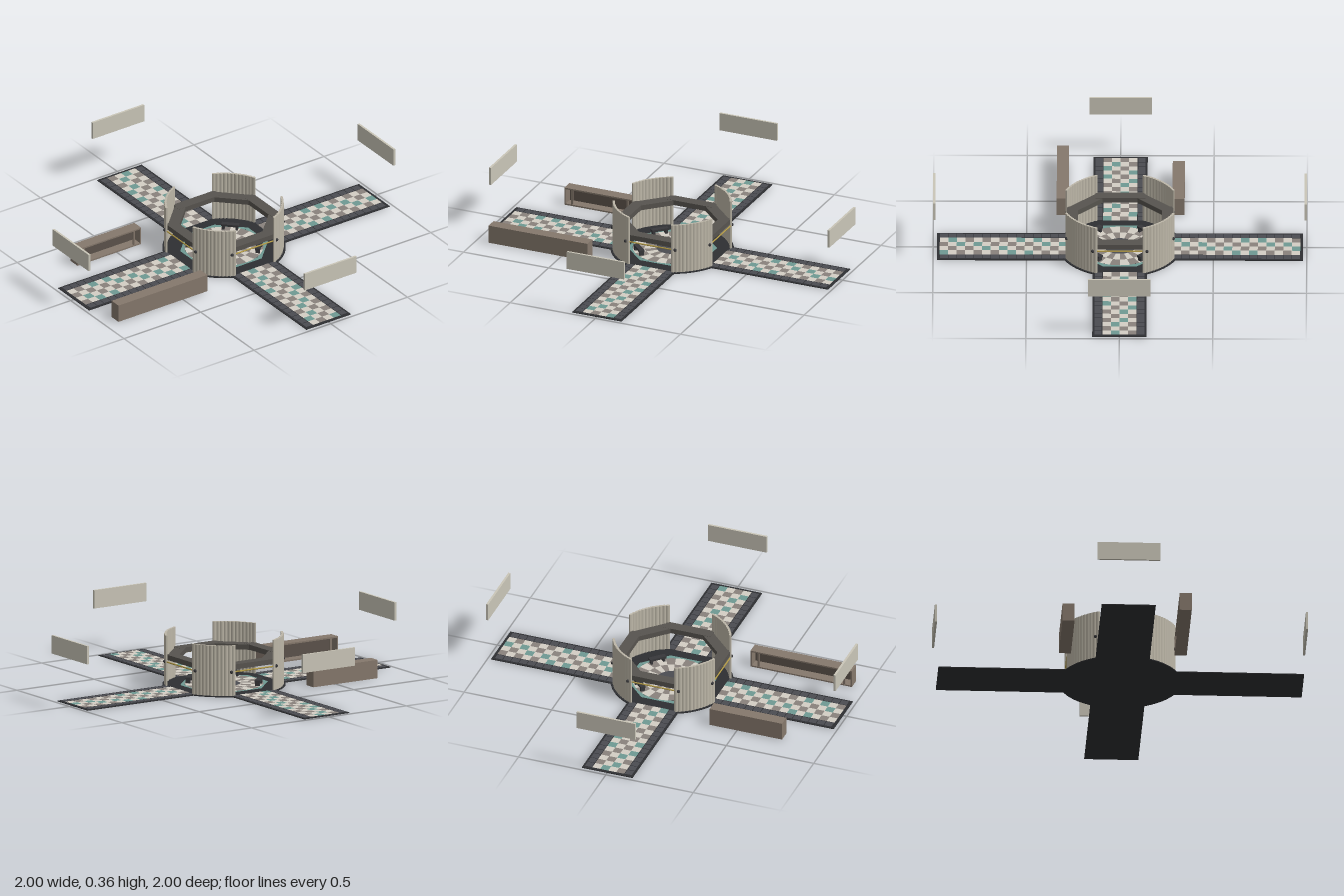
import * as THREE from 'three';
import { mergeGeometries } from 'three/addons/utils/BufferGeometryUtils.js';

const mat = (color) => new THREE.MeshStandardMaterial({ color });
const M = {
  slab: mat(0x2e2f32), border: mat(0x4b4c52), light: mat(0xd3cec4), grey: mat(0x89827d),
  teal: mat(0x6e9a93), panel: mat(0xbdb7a8), sign: mat(0xcac6b8), kiosk: mat(0x85786c),
  dark: mat(0x38383b), beam: mat(0x57544f), gold: mat(0xb39a45), inside: mat(0x5c534b),
};

function add(parent, name, geometry, material, x = 0, y = 0, z = 0) {
  const mesh = new THREE.Mesh(geometry, material);
  mesh.name = name;
  mesh.position.set(x, y, z);
  parent.add(mesh);
  return mesh;
}

// Adds a part, made by build(), at an angle around the vertical axis
function around(parent, name, angle, build) {
  const g = new THREE.Group();
  g.name = name;
  g.rotation.y = angle;
  build(g);
  parent.add(g);
}

const box = (w, h, d) => new THREE.BoxGeometry(w, h, d);
const flat = (g, x, y, z) => g.rotateX(-Math.PI / 2).translate(x, y, z);

// Walkway with a checkered strip and dark border tiles
function walkway(g, turn) {
  add(g, 'walkwaySlab', box(0.29, 0.004, 0.7), M.slab, 0, 0.002, 0.63);
  const sets = { light: [], grey: [], teal: [], border: [] };
  const step = 0.0455;
  for (let row = 0; row < 15; row++) {
    const z = 0.305 + row * step;
    for (let col = 0; col < 4; col++) {
      const odd = (row + col) % 2;
      const key = !odd ? 'light' : (row * 2 + col + turn) % 5 < 2 ? 'teal' : 'grey';
      sets[key].push(flat(new THREE.PlaneGeometry(step, step), (col - 1.5) * step, 0.006, z));
    }
    for (const s of [-1, 1])
      sets.border.push(flat(new THREE.PlaneGeometry(0.039, step - 0.004), s * 0.114, 0.006, z));
  }
  for (const key in sets) add(g, key + 'Tiles', mergeGeometries(sets[key]), M[key]);
}

// Round floor with rings of alternating wedge tiles
function plaza(g) {
  add(g, 'plazaSlab', new THREE.CylinderGeometry(0.33, 0.33, 0.005, 64), M.slab, 0, 0.0025, 0);
  add(g, 'plazaCentre', flat(new THREE.CircleGeometry(0.085, 40), 0, 0.008, 0), M.border);
  const sets = { light: [], grey: [] };
  const n = 24, a = Math.PI * 2 / n;
  for (let ring = 0; ring < 2; ring++)
    for (let i = 0; i < n; i++)
      sets[(i + ring) % 2 ? 'light' : 'grey'].push(
        flat(new THREE.RingGeometry(0.085 + ring * 0.063, 0.148 + ring * 0.063, 3, 1, i * a, a), 0, 0.008, 0));
  for (const key in sets) add(g, key + 'Wedges', mergeGeometries(sets[key]), M[key]);
  add(g, 'tealOctagon', flat(new THREE.RingGeometry(0.215, 0.24, 8, 1, Math.PI / 8), 0, 0.0075, 0), M.teal);
}

// Curved screen wall with vertical flutes on both faces
function flutedPanel() {
  const pts = [], n = 96, half = 0.385, flutes = 12;
  const ripple = (t) => 0.003 * Math.abs(Math.sin(t * flutes * Math.PI));
  const put = (t, r) => {
    const a = (t * 2 - 1) * half;
    pts.push(new THREE.Vector2(Math.sin(a) * r, -Math.cos(a) * r));
  };
  for (let i = 0; i <= n; i++) put(i / n, 0.317 + ripple(i / n));
  for (let i = n; i >= 0; i--) put(i / n, 0.309 - ripple(i / n));
  const geo = new THREE.ExtrudeGeometry(new THREE.Shape(pts), { depth: 0.275, bevelEnabled: false });
  return geo.rotateX(-Math.PI / 2);
}

// Low hollow stall, open towards the walkway
function stall(parent, name, x0, x1, z, outward) {
  const g = new THREE.Group();
  g.name = name;
  const len = x1 - x0, mid = (x0 + x1) / 2, d = 0.065, t = 0.008;
  add(g, 'stallRoof', box(len, t, d), M.kiosk, mid, 0.1, z);
  add(g, 'stallFloor', box(len, t, d), M.kiosk, mid, 0.008, z);
  add(g, 'stallBack', box(len, 0.092, t), M.kiosk, mid, 0.054, z + outward * (d - t) / 2);
  for (const x of [x0 + t / 2, x1 - t / 2]) add(g, 'stallEnd', box(t, 0.092, d), M.kiosk, x, 0.054, z);
  for (const x of [x0 + 0.045, x1 - 0.045])
    add(g, 'stallPost', box(0.01, 0.084, 0.01), M.kiosk, x, 0.054, z - outward * 0.026);
  add(g, 'stallLining', box(len - 0.02, 0.08, 0.004), M.inside, mid, 0.054, z + outward * 0.02);
  parent.add(g);
}

export function createModel() {
  const model = new THREE.Group();
  model.name = 'crossingHall';
  plaza(model);
  const panelGeo = flutedPanel();

  for (let i = 0; i < 4; i++) {
    const straight = i * Math.PI / 2, diagonal = straight + Math.PI / 4;
    around(model, 'walkway', straight, (g) => walkway(g, i));
    // Hanging sign board at the far end
    around(model, 'endSign', straight, (g) => {
      add(g, 'signBoard', box(0.336, 0.1, 0.012), M.sign, 0, 0.31, 0.994);
    });
    // Rail across the opening
    around(model, 'openingRail', straight, (g) => {
      const bar = add(g, 'railBar', new THREE.CylinderGeometry(0.004, 0.004, 0.29, 10), M.gold, 0, 0.135, 0.285);
      bar.rotation.z = Math.PI / 2;
      for (const s of [-1, 1])
        add(g, 'railKnob', new THREE.SphereGeometry(0.009, 12, 8), M.dark, s * 0.145, 0.135, 0.285);
    });
    around(model, 'screenWall', diagonal, (g) => {
      add(g, 'flutedPanel', panelGeo, M.panel, 0, 0.005, 0);
    });
    // Small bench in front of each wall
    around(model, 'bench', diagonal, (g) => {
      add(g, 'benchSeat', box(0.095, 0.012, 0.028), M.dark, 0, 0.034, 0.19);
      for (const s of [-1, 1]) add(g, 'benchLeg', box(0.012, 0.03, 0.024), M.dark, s * 0.036, 0.018, 0.19);
    });
  }

  // Octagonal ring beam
  for (let i = 0; i < 8; i++)
    around(model, 'ringBeam', i * Math.PI / 4, (g) => {
      const onAxis = i % 2 === 0;
      add(g, 'beam', box(onAxis ? 0.27 : 0.22, 0.028, 0.06), M.beam, 0, onAxis ? 0.161 : 0.16, 0.255);
    });

  stall(model, 'longStall', -0.925, -0.345, 0.308, 1);
  stall(model, 'shortStall', -0.76, -0.345, -0.312, -1);
  return model;
}
